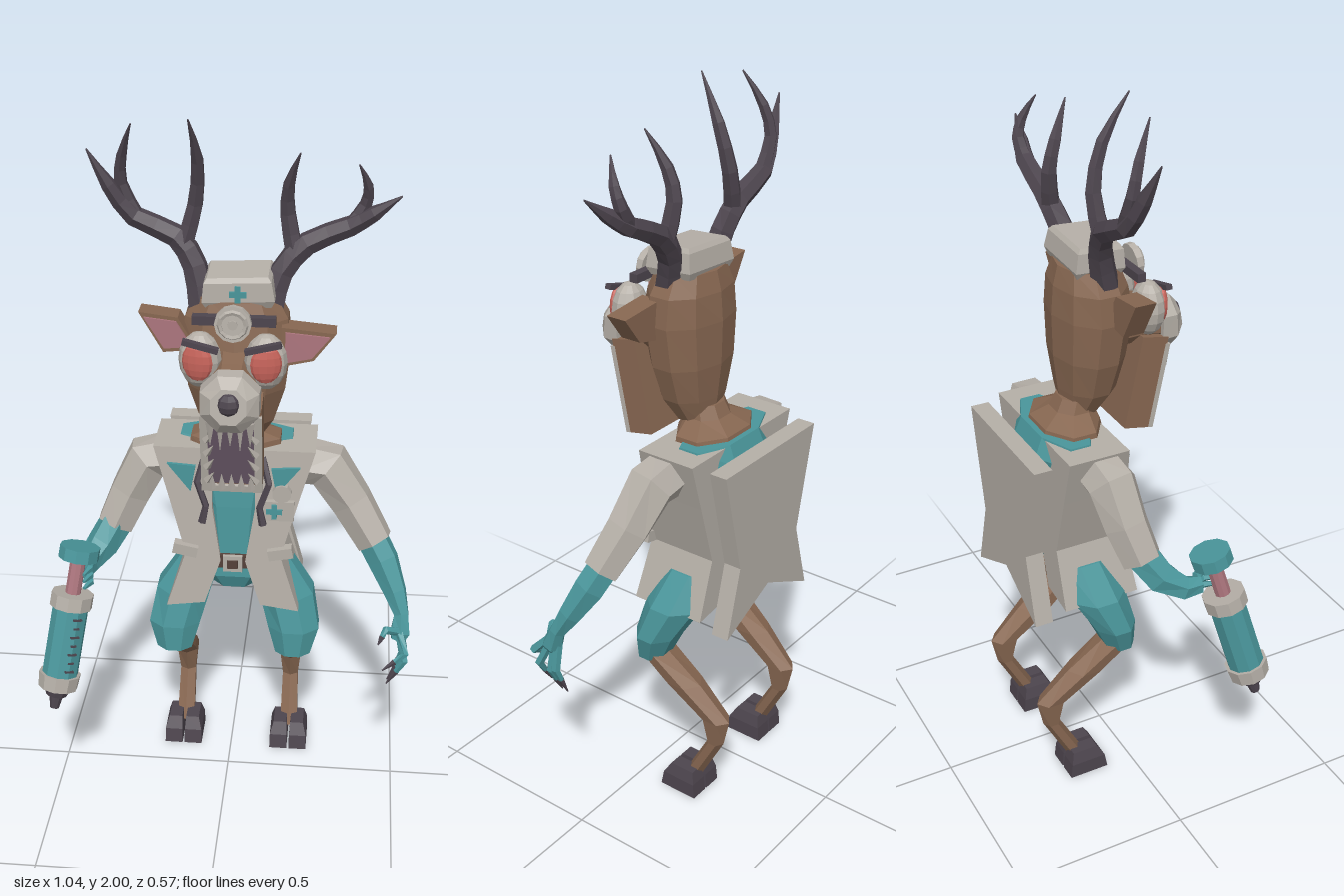
import * as THREE from 'three';

const mat = (name, color) => Object.assign(new THREE.MeshStandardMaterial({ color, flatShading: true, side: THREE.DoubleSide }), { name });
const V = (p) => new THREE.Vector3(...p);

export function createModel() {
  const M = {
    coat: mat('coat grey', 0xb5afa7), teal: mat('scrub teal', 0x4a969b), fur: mat('fur brown', 0x876751),
    dark: mat('horn dark', 0x4d454e), red: mat('eye red', 0xc7645b), pink: mat('ear pink', 0xac757d),
    mouth: mat('mouth mauve', 0x665565), strap: mat('strap brown', 0x54413a),
  };
  const root = new THREE.Group();
  root.name = 'creature';
  const body = new THREE.Group();
  body.name = 'body';
  body.position.x = 0.015;
  const head = new THREE.Group();
  head.name = 'head';
  head.position.x = 0.008;
  body.add(head);
  root.add(body);

  const add = (parent, name, geo, m, pos = [0, 0, 0], rot = [0, 0, 0]) => {
    const mesh = new THREE.Mesh(geo, m);
    mesh.name = name;
    mesh.position.set(...pos);
    mesh.rotation.set(...rot);
    parent.add(mesh);
    return mesh;
  };
  const box = (w, h, d) => new THREE.BoxGeometry(w, h, d);
  const cyl = (a, b, h, n) => new THREE.CylinderGeometry(a, b, h, n);

  // Closed skin over equal-sized rings that turn counter-clockwise about the path
  const skin = (rings) => {
    const n = rings[0].length, pos = [], idx = [];
    rings.forEach((r) => r.forEach((p) => pos.push(p.x, p.y, p.z)));
    for (let i = 0; i < rings.length - 1; i++) for (let j = 0; j < n; j++) {
      const a = i * n + j, b = i * n + (j + 1) % n;
      idx.push(a, b, a + n, b, b + n, a + n);
    }
    const last = (rings.length - 1) * n;
    for (let j = 1; j < n - 1; j++) idx.push(0, j + 1, j, last, last + j, last + j + 1);
    const g = new THREE.BufferGeometry();
    g.setAttribute('position', new THREE.Float32BufferAttribute(pos, 3));
    g.setIndex(idx);
    g.computeVertexNormals();
    return g;
  };
  const angles = (n) => Array.from({ length: n }, (_, j) => (j + 0.5) / n * Math.PI * 2);
  // Horizontal rings [x, y, z, rx, rz], bottom to top
  const loft = (rows, n = 8) => skin(rows.map(([x, y, z, rx, rz]) =>
    angles(n).map((a) => V([x + rx * Math.cos(a), y, z - rz * Math.sin(a)]))));
  // Tapered limb along points [x, y, z, radius]
  const limb = (rows, n = 6, ref = [0, 0, 1]) => skin(rows.map((p, i) => {
    const c = V(p.slice(0, 3));
    const t = V(rows[Math.min(i + 1, rows.length - 1)].slice(0, 3)).sub(V(rows[Math.max(i - 1, 0)].slice(0, 3))).normalize();
    const u = V(ref).cross(t).normalize(), v = t.clone().cross(u);
    return angles(n).map((a) => c.clone().addScaledVector(u, p[3] * Math.cos(a)).addScaledVector(v, p[3] * Math.sin(a)));
  }));
  // Rounds the path of a limb, two steps per span
  const smooth = (rows) => {
    const curve = new THREE.CatmullRomCurve3(rows.map((r) => V(r.slice(0, 3))));
    const last = rows.length - 1;
    return Array.from({ length: last * 2 + 1 }, (_, i) => {
      const a = rows[Math.floor(i / 2)][3], b = rows[Math.ceil(i / 2)][3];
      return [...curve.getPoint(i / 2 / last).toArray(), (a + b) / 2];
    });
  };
  const plate = (pts, depth) => new THREE.ExtrudeGeometry(
    new THREE.Shape(pts.map(([x, y]) => new THREE.Vector2(x, y))), { depth, bevelEnabled: false });
  const cross = (parent, x, y, z, s) => {
    add(parent, 'cross bar', box(s, s / 3, 0.006), M.teal, [x, y, z]);
    add(parent, 'cross post', box(s / 3, s, 0.006), M.teal, [x, y, z]);
  };
  const mx = (rows, s) => rows.map(([x, ...r]) => [x * s, ...r]);

  // Torso, pelvis and neck
  add(body, 'torso', loft([[0, 0.635, -0.09, 0.08, 0.08], [0, 0.68, -0.09, 0.13, 0.1], [0, 0.75, -0.095, 0.1, 0.1],
    [0, 0.9, -0.115, 0.13, 0.11], [0, 1.03, -0.125, 0.18, 0.105], [0, 1.085, -0.13, 0.17, 0.075]]), M.teal);
  add(body, 'pelvis', loft([[0, 0.605, -0.14, 0.05, 0.04], [0, 0.66, -0.13, 0.1, 0.07]]), M.fur);
  add(body, 'neck', loft([[0, 0.985, -0.1, 0.07, 0.1], [0, 1.05, -0.1, 0.14, 0.1],
    [0, 1.095, -0.1, 0.135, 0.088], [0, 1.125, -0.08, 0.07, 0.058], [0, 1.16, -0.07, 0.06, 0.05]]), M.fur);
  add(body, 'belt', loft([[0, 0.715, -0.09, 0.11, 0.11], [0, 0.755, -0.09, 0.11, 0.11]]), M.strap);
  add(body, 'buckle', box(0.055, 0.05, 0.012), M.coat, [0, 0.735, 0.018]);
  add(body, 'buckle centre', box(0.03, 0.026, 0.006), M.strap, [0, 0.735, 0.025]);

  // Coat back: waisted plate with a notched tail
  const half = [[0, 0.66], [0.19, 0.57], [0.135, 0.77], [0.205, 1.07]];
  add(body, 'coatBack', plate([...half, ...mx(half.slice(1), -1).reverse()], 0.052), M.coat, [0, 0, -0.288]);

  const frontZ = (y) => -0.02 + (1.08 - y) * 0.1;
  // Ear outlines differ a little: the right one is raised
  const ears = {
    '-1': [[-0.15, 1.488], [-0.1, 1.4], [-0.19, 1.39], [-0.253, 1.5]],
    '1': [[0.12, 1.47], [0.12, 1.36], [0.205, 1.38], [0.262, 1.457]],
  };
  for (const s of [-1, 1]) {
    // Coat front, leaning forward towards the hem
    const g = plate(mx([[0.06, 1.08], [0.06, 0.9], [0.035, 0.74], [0.08, 0.605], [0.19, 0.59],
      [0.135, 0.76], [0.185, 0.94], [0.225, 1.08]], s), 0.1);
    const p = g.attributes.position;
    for (let i = 0; i < p.count; i++) p.setZ(i, p.getZ(i) > 0.05 ? frontZ(p.getY(i)) : -0.195);
    g.computeVertexNormals();
    add(body, 'coatFront', g, M.coat);
    add(body, 'pocketFlap', box(0.07, 0.032, 0.03), M.coat, [s * 0.135, 0.775, 0.012], [0, 0, s * 0.2]);
    add(body, 'lapel', plate(mx([[0.185, 1.04], [0.105, 1.035], [0.12, 0.955]], s), 0.009), M.teal, [0, 0, -0.006]);
    add(body, 'hanging tube', limb(mx([[0.08, 1.06, -0.02, 0.01], [0.1, 0.99, 0.01, 0.01], [0.075, 0.92, 0.02, 0.01],
      [0.085, 0.87, 0.025, 0.012]], s), 5), M.dark);

    // Legs
    add(body, 'thigh', loft(mx([[0.175, 0.42, -0.025, 0.055, 0.045], [0.175, 0.5, -0.045, 0.08, 0.065],
      [0.15, 0.6, -0.085, 0.085, 0.085], [0.1, 0.7, -0.105, 0.065, 0.075]], s)), M.teal);
    add(body, 'shank', loft(mx([[0.163, 0.05, -0.16, 0.03, 0.026], [0.162, 0.19, -0.235, 0.027, 0.025],
      [0.162, 0.27, -0.232, 0.036, 0.046], [0.168, 0.36, -0.125, 0.05, 0.057], [0.175, 0.44, -0.03, 0.054, 0.045]], s), 6), M.fur);
    for (const t of [-1, 1]) {
      const x = s * 0.164 + t * 0.03;
      add(body, 'hoof', loft([[x, 0, -0.14, 0.038, 0.084], [x, 0.045, -0.142, 0.037, 0.075],
        [x - t * 0.004, 0.08, -0.148, 0.028, 0.054]], 4), M.dark);
    }

    // Ears, with an inset lining
    const ear = ears[s];
    const cx = ear.reduce((sum, q) => sum + q[0] / 4, 0), cy = ear.reduce((sum, q) => sum + q[1] / 4, 0);
    add(head, 'ear', plate(ear, 0.06), M.fur, [0, 0, -0.02]);
    add(head, 'ear lining', plate(ear.map(([x, y]) => [cx + (x - cx) * 0.82, cy + (y - cy) * 0.78]), 0.006), M.pink, [0, 0, 0.04]);

    // Eyes and brows
    const eye = new THREE.SphereGeometry(1, 12, 8);
    add(head, 'eyeball', eye, M.coat, [s * 0.085, 1.405, 0.11]).scale.set(0.056, 0.076, 0.046);
    add(head, 'iris', eye, M.red, [s * 0.088, 1.412, 0.147], [0, s * 0.2, 0]).scale.set(0.041, 0.052, 0.015);
    add(head, 'brow', box(0.095, 0.014, 0.018), M.dark, [s * 0.08, 1.457, 0.15], [0, 0, s * 0.25]);
  }
  add(body, 'chest pocket', box(0.09, 0.06, 0.02), M.coat, [0.125, 0.905, -0.001]);
  cross(body, 0.115, 0.905, 0.011, 0.045);
  add(body, 'badge', cyl(0.027, 0.027, 0.02, 10), M.coat, [0.135, 0.96, 0.0], [Math.PI / 2, 0, 0]);

  // Skull and snout
  add(head, 'skull', loft([[0, 1.115, -0.05, 0.065, 0.055], [0, 1.18, -0.035, 0.105, 0.08], [0, 1.28, -0.03, 0.137, 0.097],
    [0, 1.4, -0.022, 0.151, 0.108], [0, 1.48, -0.027, 0.142, 0.097], [0, 1.535, -0.03, 0.11, 0.08]], 10), M.fur);
  add(head, 'snout', limb([[0, 1.35, 0.03, 0.08], [0, 1.34, 0.12, 0.068], [0, 1.33, 0.18, 0.068]], 8, [0, 1, 0]), M.fur);
  add(head, 'muzzle', limb([[0, 1.325, 0.165, 0.084], [0, 1.325, 0.21, 0.082], [0, 1.33, 0.238, 0.05]], 8, [0, 1, 0]), M.coat);
  add(head, 'nose', new THREE.SphereGeometry(0.032, 8, 6), M.dark, [0, 1.335, 0.226]);

  // Hanging jaw with teeth
  const jaw = new THREE.Group();
  jaw.name = 'jaw';
  jaw.position.set(0, 1.165, 0.112);
  jaw.rotation.x = 0.2;
  head.add(jaw);
  add(jaw, 'jaw shell', box(0.16, 0.27, 0.08), M.fur, [0, 0.01, 0]);
  add(jaw, 'mouth lining', box(0.13, 0.22, 0.008), M.mouth, [0, 0.012, 0.041]);
  for (const s of [-1, 1]) {
    add(jaw, 'gum side', box(0.02, 0.25, 0.014), M.coat, [s * 0.071, 0, 0.042]);
    for (let i = 0; i < 4; i++)
      add(jaw, 'side tooth', new THREE.ConeGeometry(0.012, 0.045, 4), M.coat, [s * 0.055, -0.07 + i * 0.045, 0.052], [0.3, 0, s * 0.5]);
  }
  add(jaw, 'gum bottom', box(0.16, 0.02, 0.014), M.coat, [0, -0.115, 0.042]);
  for (let i = -2; i <= 2; i++) {
    add(jaw, 'lower tooth', new THREE.ConeGeometry(0.011, 0.05, 4), M.coat, [i * 0.026, -0.085, 0.052]);
    add(head, 'upper tooth', new THREE.ConeGeometry(0.012, i % 2 ? 0.1 : 0.07, 4), M.coat, [i * 0.026, 1.23, 0.19], [Math.PI, 0, 0]);
  }

  // Cap, headband and head mirror
  add(head, 'cap', loft([[0, -0.04, 0, 0.12, 0.088], [0, -0.02, 0, 0.134, 0.1], [0, 0.03, 0, 0.124, 0.092],
    [0, 0.042, 0, 0.112, 0.08]], 4), M.coat, [0.006, 1.56, -0.028], [0.06, 0, 0.05]);
  cross(head, 0.006, 1.557, 0.043, 0.045);
  add(head, 'headband', box(0.215, 0.024, 0.024), M.dark, [0, 1.502, 0.079]);
  add(head, 'mirror', cyl(0.048, 0.048, 0.018, 12), M.coat, [0, 1.505, 0.11], [Math.PI / 2 - 0.1, 0, 0]);
  add(head, 'mirror ring', new THREE.TorusGeometry(0.034, 0.007, 5, 12), M.coat, [0, 1.505, 0.12]);
  add(head, 'mirror hub', cyl(0.013, 0.013, 0.012, 8), M.coat, [0, 1.505, 0.118], [Math.PI / 2, 0, 0]);

  // Antlers: main beam, inner tine and outer tine on each side
  const antlers = [
    [[-0.07, 1.5, -0.02, 0.038], [-0.09, 1.6, -0.045, 0.034], [-0.14, 1.675, -0.06, 0.031], [-0.25, 1.725, -0.06, 0.027],
      [-0.31, 1.81, -0.045, 0.02], [-0.36, 1.905, -0.03, 0.002]],
    [[-0.12, 1.65, -0.055, 0.026], [-0.09, 1.76, -0.065, 0.022], [-0.08, 1.88, -0.035, 0.017], [-0.095, 2.0, 0.03, 0.002]],
    [[-0.24, 1.72, -0.06, 0.022], [-0.28, 1.81, -0.06, 0.018], [-0.272, 1.89, -0.04, 0.014], [-0.24, 1.98, 0.005, 0.002]],
    [[0.11, 1.5, -0.02, 0.038], [0.135, 1.59, -0.045, 0.034], [0.2, 1.665, -0.06, 0.031], [0.31, 1.715, -0.06, 0.027],
      [0.37, 1.755, -0.045, 0.02], [0.435, 1.805, -0.03, 0.002]],
    [[0.17, 1.63, -0.055, 0.026], [0.148, 1.74, -0.07, 0.022], [0.15, 1.82, -0.05, 0.017], [0.18, 1.915, -0.005, 0.002]],
    [[0.31, 1.715, -0.06, 0.022], [0.345, 1.77, -0.065, 0.018], [0.35, 1.82, -0.05, 0.014], [0.325, 1.885, -0.02, 0.002]],
  ];
  antlers.forEach((a) => add(root, 'antler', limb(smooth(a)), M.dark));

  // Right arm, holding the syringe
  add(root, 'rightSleeve', limb([[-0.17, 1.02, -0.09, 0.068], [-0.235, 1.01, -0.085, 0.07], [-0.285, 0.91, -0.07, 0.063],
    [-0.328, 0.815, -0.045, 0.057]]), M.coat);
  add(root, 'rightForearm', limb([[-0.31, 0.845, -0.055, 0.05], [-0.362, 0.765, -0.005, 0.047], [-0.396, 0.733, 0.05, 0.034],
    [-0.4, 0.733, 0.095, 0.025]], 6, [0, 1, 0]), M.teal);
  for (let i = 0; i < 3; i++) {
    const y = 0.755 - i * 0.022;
    add(root, 'gripping finger', limb([[-0.39, y, 0.085, 0.012], [-0.378, y, 0.115, 0.011], [-0.39, y, 0.15, 0.005]], 5, [0, 1, 0]), M.teal);
  }

  // Left arm with a clawed hand
  add(root, 'leftSleeve', limb([[0.2, 1.02, -0.09, 0.068], [0.275, 1.01, -0.085, 0.07], [0.345, 0.91, -0.065, 0.062],
    [0.415, 0.802, -0.03, 0.054]]), M.coat);
  add(root, 'leftForearm', limb([[0.395, 0.83, -0.04, 0.047], [0.44, 0.755, -0.01, 0.046], [0.478, 0.675, 0.03, 0.034],
    [0.498, 0.62, 0.06, 0.023], [0.497, 0.57, 0.08, 0.03], [0.49, 0.55, 0.09, 0.02]]), M.teal);
  const tips = [[0.45, 0.49, 0.155], [0.465, 0.42, 0.12], [0.468, 0.405, 0.08], [0.485, 0.42, 0.045], [0.435, 0.565, 0.14]];
  tips.forEach(([x, y, z], i) => {
    const k = i === 4 ? [0.455, 0.6, 0.115] : [0.512, (y + 0.56) / 2 + 0.01, (z + 0.09) / 2 + (i < 2 ? 0.015 : -0.008)];
    const nail = V(k).lerp(V([x, y, z]), 0.45).toArray();
    add(root, 'finger', limb([[0.495, 0.58, 0.075 + (z - 0.09) * 0.3, 0.013], [...k, 0.012], [...nail, 0.008]], 5), M.teal);
    add(root, 'claw', limb([[...nail, 0.009], [x, y, z, 0.002]], 5), M.dark);
  });

  // Syringe, built along y from the tip upwards
  const syringe = new THREE.Group();
  syringe.name = 'syringe';
  syringe.position.set(-0.475, 0.365, 0.245);
  syringe.quaternion.setFromUnitVectors(V([0, 1, 0]), V([0.075, 0.465, -0.125]).normalize());
  root.add(syringe);
  [['needle tip', 0.022, 0.013, 0, 0.045, M.dark], ['nozzle', 0.045, 0.03, 0.04, 0.075, M.dark],
    ['lower ring', 0.06, 0.056, 0.065, 0.108, M.coat], ['barrel', 0.051, 0.051, 0.1, 0.32, M.teal],
    ['upper ring', 0.06, 0.06, 0.31, 0.35, M.coat], ['plunger rod', 0.022, 0.022, 0.34, 0.46, M.pink],
    ['plunger cap', 0.057, 0.057, 0.452, 0.488, M.teal]].forEach(([name, rt, rb, y0, y1, m]) =>
    add(syringe, name, cyl(rt, rb, y1 - y0, 10), m, [0, (y0 + y1) / 2, 0]));
  for (let i = 0; i < 7; i++)
    add(syringe, 'scale mark', box(i % 2 ? 0.016 : 0.026, 0.005, 0.008), M.dark, [0.03, 0.13 + i * 0.026, 0.04], [0, 0.63, 0]);

  return root;
}
